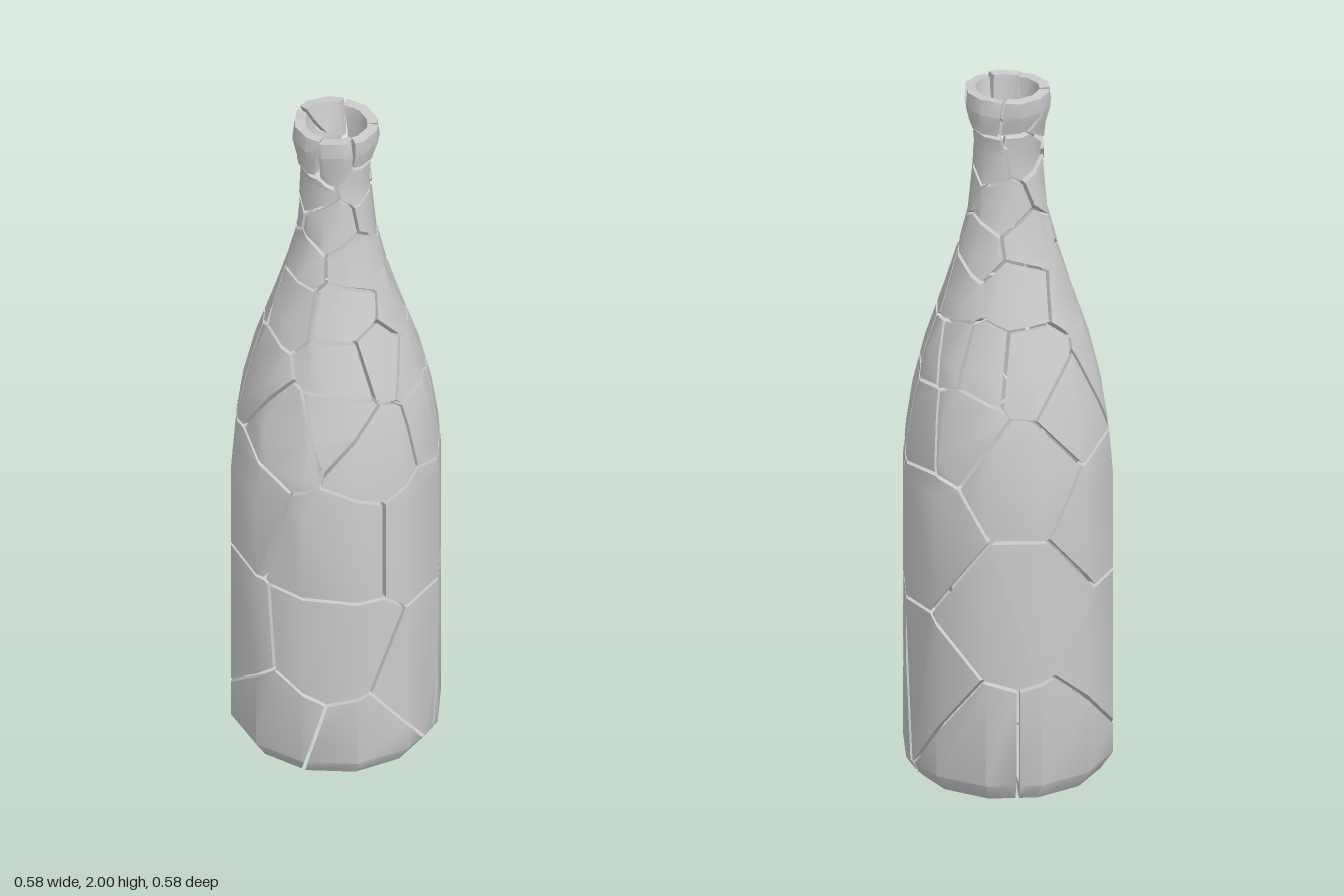
import * as THREE from 'three';
import { toCreasedNormals } from 'three/addons/utils/BufferGeometryUtils.js';

const SIDES = 12;
const GAP = 0.005; // half the width of a crack

// Wall profile, bottom centre to lip: outer radius, outer y, inner radius, inner y
const PROFILE = [
  [0, 0, 0, 0.035], [0.255, 0, 0.235, 0.035], [0.288, 0.05, 0.258, 0.07],
  [0.288, 0.88, 0.258, 0.88], [0.28, 0.98, 0.25, 0.97], [0.262, 1.1, 0.232, 1.09],
  [0.228, 1.24, 0.198, 1.23], [0.175, 1.4, 0.147, 1.39], [0.135, 1.53, 0.108, 1.52],
  [0.109, 1.64, 0.083, 1.64], [0.1, 1.74, 0.075, 1.74], [0.094, 1.83, 0.07, 1.83],
  [0.102, 1.9, 0.074, 1.9], [0.116, 1.95, 0.08, 1.95], [0.112, 1.993, 0.084, 1.993],
];

// Shard centres of the body: angle from the front towards +x in degrees, height
const BODY_SEEDS = [
  [-48, 0.4], [-32, 0.1], [14, 0.28], [48, 0.26], [76, 0.27], [110, 0.14], [165, 0.14],
  [205, 0.36], [250, 0.38], [285, 0.16],
  [-42, 0.78], [14, 0.78], [76, 0.78], [138, 0.56], [200, 0.82], [255, 0.86],
  [-17, 1.07], [32, 1.1], [68, 1.08], [100, 1.1], [140, 0.98], [180, 1.14],
  [215, 1.2], [250, 1.22], [285, 1.12], [318, 1.16],
  [-4, 1.32], [30, 1.26], [62, 1.25], [85, 1.27], [112, 1.26], [148, 1.25], [325, 1.3],
];
// Rows of smaller shards up the shoulder and neck: count, height, first angle
const NECK_ROWS = [[6, 1.45, 20], [4, 1.57, -5], [4, 1.7, 30], [4, 1.82, 0], [6, 1.93, 25]];

let state = 7;
const rand = () => (state = (state * 16807) % 2147483647) / 2147483647;
const jitter = (s) => (rand() - 0.5) * 2 * s;

const polar = (r, deg, y) => {
  const a = THREE.MathUtils.degToRad(deg);
  return new THREE.Vector3(r * Math.sin(a), y, r * Math.cos(a));
};

function radiusAt(y) {
  for (let i = 2; i < PROFILE.length; i++) {
    const [r0, y0] = PROFILE[i - 1], [r1, y1] = PROFILE[i];
    if (y <= y1) return r0 + ((r1 - r0) * (y - y0)) / (y1 - y0);
  }
  return 0.11;
}

function polygonNormal(pts) {
  const n = new THREE.Vector3();
  pts.forEach((p, i) => n.add(new THREE.Vector3().crossVectors(p, pts[(i + 1) % pts.length])));
  return n.normalize();
}

// Convex wall blocks between neighbouring profile points and sides
function wallBlocks() {
  const blocks = [];
  for (let i = 0; i + 1 < PROFILE.length; i++) {
    for (let s = 0; s < SIDES; s++) {
      const corner = (k, inner, side) =>
        polar(PROFILE[k][inner * 2], ((s + side) * 360) / SIDES, PROFILE[k][inner * 2 + 1]);
      const [a, b, c, d] = [corner(i, 0, 0), corner(i, 0, 1), corner(i + 1, 0, 1), corner(i + 1, 0, 0)];
      const [e, f, g, h] = [corner(i, 1, 0), corner(i, 1, 1), corner(i + 1, 1, 1), corner(i + 1, 1, 0)];
      const centre = new THREE.Vector3();
      [a, b, c, d, e, f, g, h].forEach((p) => centre.addScaledVector(p, 1 / 8));
      const isLip = i + 2 === PROFILE.length;
      const faces = [[[a, b, c, d], true], [[e, f, g, h], true], [[c, d, h, g], isLip],
        [[a, d, h, e], false], [[b, c, g, f], false]];
      if (i > 0) faces.push([[a, b, f, e], false]);
      blocks.push(faces.map(([pts, skin]) => {
        if (polygonNormal(pts).dot(pts[0].clone().add(pts[2]).multiplyScalar(0.5).sub(centre)) < 0) pts.reverse();
        return { pts, skin };
      }));
    }
  }
  return blocks;
}

// Keep the part of a convex block behind a plane and close the cut
function clipBlock(faces, plane) {
  const dist = (p) => plane.distanceToPoint(p);
  if (faces.every((f) => f.pts.every((p) => dist(p) <= 0))) return faces;
  const kept = [], cut = [];
  const addCut = (p) => { if (!cut.some((q) => q.distanceToSquared(p) < 1e-12)) cut.push(p); };
  for (const { pts, skin } of faces) {
    const out = [];
    pts.forEach((p, i) => {
      const q = pts[(i + 1) % pts.length], dp = dist(p), dq = dist(q);
      if (dp <= 0) out.push(p);
      if ((dp <= 0) !== (dq <= 0)) {
        const m = p.clone().lerp(q, dp / (dp - dq));
        out.push(m);
        addCut(m);
      }
    });
    if (out.length > 2) kept.push({ pts: out, skin });
  }
  if (kept.length && cut.length > 2) {
    const mid = new THREE.Vector3();
    cut.forEach((p) => mid.addScaledVector(p, 1 / cut.length));
    const u = cut[0].clone().sub(mid).normalize();
    const v = new THREE.Vector3().crossVectors(plane.normal, u);
    const angle = (p) => { const w = p.clone().sub(mid); return Math.atan2(w.dot(v), w.dot(u)); };
    cut.sort((p, q) => angle(p) - angle(q));
    kept.push({ pts: cut, skin: true });
  }
  return kept;
}

// One shard: all wall blocks cut back to the cell around a seed
function shardGeometry(seed, seeds, blocks) {
  const planes = seeds.filter((o) => o !== seed)
    .sort((p, q) => p.distanceToSquared(seed) - q.distanceToSquared(seed))
    .map((o) => {
      const n = o.clone().sub(seed).normalize();
      const mid = o.clone().add(seed).multiplyScalar(0.5).addScaledVector(n, -GAP);
      return new THREE.Plane().setFromNormalAndCoplanarPoint(n, mid);
    });
  const pos = [], tri = new THREE.Triangle();
  for (const block of blocks) {
    let faces = block;
    for (const plane of planes) {
      faces = clipBlock(faces, plane);
      if (!faces.length) break;
    }
    for (const { pts, skin } of faces) {
      for (let i = 1; skin && i + 1 < pts.length; i++) {
        tri.set(pts[0], pts[i], pts[i + 1]);
        if (tri.getArea() > 1e-9) pos.push(...pts[0], ...pts[i], ...pts[i + 1]);
      }
    }
  }
  if (!pos.length) return null;
  const geo = new THREE.BufferGeometry();
  geo.setAttribute('position', new THREE.Float32BufferAttribute(pos, 3));
  return toCreasedNormals(geo, 0.62);
}

export function createModel() {
  const model = new THREE.Group();
  model.name = 'shatteredBottle';
  const material = new THREE.MeshStandardMaterial({ color: 0xcccccc });

  const seeds = [new THREE.Vector3(0, -0.05, 0)];
  BODY_SEEDS.forEach(([deg, y]) => seeds.push(polar(radiusAt(y), deg, y)));
  NECK_ROWS.forEach(([count, y, start]) => {
    for (let i = 0; i < count; i++) {
      const h = y + jitter(0.035);
      seeds.push(polar(radiusAt(h), start + (i * 360) / count + jitter(18), h));
    }
  });

  const blocks = wallBlocks();
  const parts = {};
  for (const name of ['base', 'body', 'shoulder', 'neck', 'lip']) {
    parts[name] = new THREE.Group();
    parts[name].name = name;
    model.add(parts[name]);
  }
  for (const seed of seeds) {
    const geo = shardGeometry(seed, seeds, blocks);
    if (!geo) continue;
    const y = seed.y;
    const part = y < 0 ? 'base' : y < 1 ? 'body' : y < 1.5 ? 'shoulder' : y < 1.85 ? 'neck' : 'lip';
    // Shards near the mouth sit slightly askew
    const tilt = y > 1.77 ? 0.09 : y > 1.5 ? 0.03 : 0;
    geo.translate(-seed.x, -seed.y, -seed.z);
    const shard = new THREE.Mesh(geo, material);
    shard.name = part + 'Shard';
    shard.position.copy(seed);
    shard.rotation.set(jitter(tilt), jitter(tilt), jitter(tilt));
    parts[part].add(shard);
  }
  return model;
}
